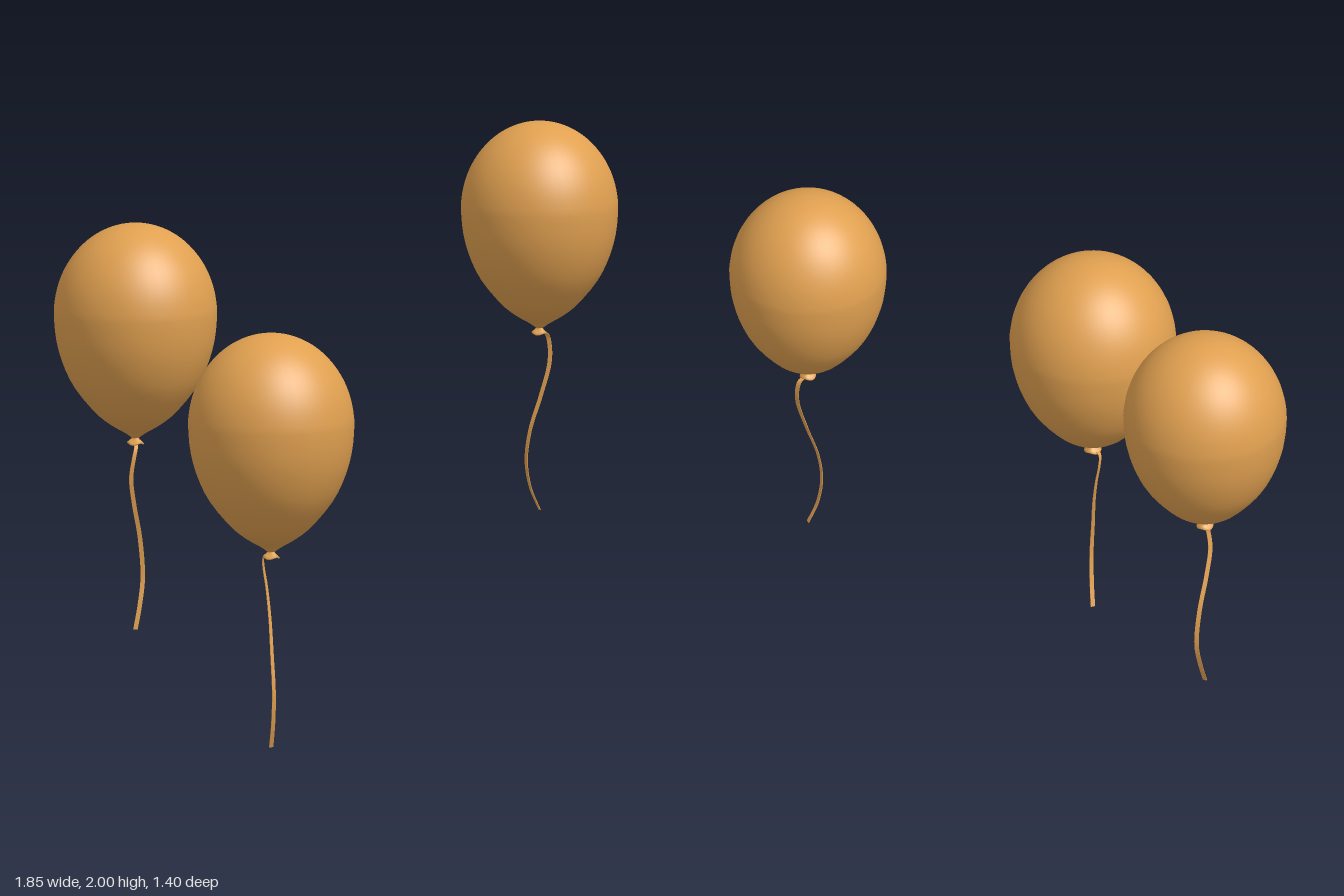
import * as THREE from 'three';

const material = new THREE.MeshStandardMaterial({ color: 0xe0a050 });

// Smooth teardrop body, in units of its radius, origin at the widest level
function bodyGeometry() {
  const lower = [[0.045, -1.52], [0.13, -1.46], [0.31, -1.355], [0.5, -1.2], [0.745, -0.9],
    [0.89, -0.6], [0.972, -0.3]].map(([x, y]) => new THREE.Vector2(x, y));
  const upper = [];
  for (let i = 0; i <= 12; i++) {
    const a = (i / 12) * Math.PI / 2;
    upper.push(new THREE.Vector2(Math.cos(a), 1.127 * Math.sin(a)));
  }
  const points = new THREE.SplineCurve([...lower, ...upper]).getPoints(48);
  points.forEach(p => { p.x = Math.max(p.x, 0); });
  points[points.length - 1].x = 0;
  return new THREE.LatheGeometry(points, 48);
}

// Flared, slightly crimped lip under the pinched neck
function knotGeometry() {
  const profile = [[0, -1.565], [0.05, -1.585], [0.095, -1.6], [0.105, -1.585], [0.085, -1.565],
    [0.05, -1.535], [0.04, -1.515], [0.05, -1.49]].map(([x, y]) => new THREE.Vector2(x, y));
  const geometry = new THREE.LatheGeometry(profile, 24);
  const pos = geometry.attributes.position;
  for (let i = 0; i < pos.count; i++) {
    const x = pos.getX(i), z = pos.getZ(i);
    const flare = Math.hypot(x, z) / 0.105;
    pos.setY(i, pos.getY(i) + 0.012 * flare * Math.sin(3 * Math.atan2(z, x)));
  }
  geometry.computeVertexNormals();
  return geometry;
}

// Thin flat ribbon along a curve, its width turning from angle a0 to a1 (degrees)
function ribbonGeometry(points, a0, a1) {
  const curve = new THREE.CatmullRomCurve3(points.map(p => new THREE.Vector3(...p)));
  const geometry = new THREE.BoxGeometry(0.015, 1, 0.002, 1, 60, 1);
  const pos = geometry.attributes.position;
  for (let i = 0; i < pos.count; i++) {
    const t = THREE.MathUtils.clamp(0.5 - pos.getY(i), 0, 1);
    const angle = THREE.MathUtils.degToRad(a0 + (a1 - a0) * t);
    const across = new THREE.Vector3(Math.cos(angle), 0, Math.sin(angle));
    const up = curve.getTangentAt(t).negate();
    const normal = across.clone().cross(up).normalize();
    const p = curve.getPointAt(t)
      .addScaledVector(across, pos.getX(i))
      .addScaledVector(normal, pos.getZ(i));
    pos.setXYZ(i, p.x, p.y, p.z);
  }
  geometry.computeVertexNormals();
  return geometry;
}

// String points are absolute heights with sideways offsets from the balloon axis
const balloons = [
  {
    name: 'rightBalloon', x: -0.655, z: -0.18, top: 1.635, radius: 0.27, turn: [120, 180],
    string: [[0, 0.908, 0], [0.012, 0.89, 0.03], [0.01, 0.86, 0.043], [-0.002, 0.79, 0.038],
      [-0.003, 0.7, 0.006], [0.004, 0.58, -0.035], [0.01, 0.45, -0.046], [0.007, 0.36, -0.025], [0, 0.28, 0]],
  },
  {
    name: 'frontBalloon', x: 0.02, z: 0.42, top: 1.38, radius: 0.275, turn: [90, 135],
    string: [[0, 0.64, 0], [-0.032, 0.63, -0.015], [-0.036, 0.6, -0.026], [-0.025, 0.53, -0.027],
      [-0.006, 0.43, -0.004], [0.013, 0.31, 0.03], [0.023, 0.19, 0.041], [0.016, 0.09, 0.026], [0, 0, 0]],
  },
  {
    name: 'leftBalloon', x: 0.665, z: -0.44, top: 2, radius: 0.26, turn: [0, 45],
    string: [[0, 1.3, 0], [0.015, 1.287, -0.03], [0.024, 1.25, -0.033], [0.026, 1.19, -0.024],
      [0.002, 1.08, -0.002], [-0.026, 0.97, 0.022], [-0.037, 0.87, 0.028], [-0.026, 0.78, 0.018], [0, 0.705, 0]],
  },
];

export function createModel() {
  const model = new THREE.Group();
  model.name = 'balloons';
  const body = bodyGeometry(), knot = knotGeometry();

  for (const b of balloons) {
    const group = new THREE.Group();
    group.name = b.name;
    group.position.set(b.x, 0, b.z);
    const add = (name, geometry) => {
      const mesh = new THREE.Mesh(geometry, material);
      mesh.name = name;
      group.add(mesh);
      return mesh;
    };
    for (const [name, geometry] of [['body', body], ['knot', knot]]) {
      const mesh = add(name, geometry);
      mesh.scale.setScalar(b.radius);
      mesh.position.y = b.top - 1.127 * b.radius;
    }
    add('string', ribbonGeometry(b.string, ...b.turn));
    model.add(group);
  }
  return model;
}
